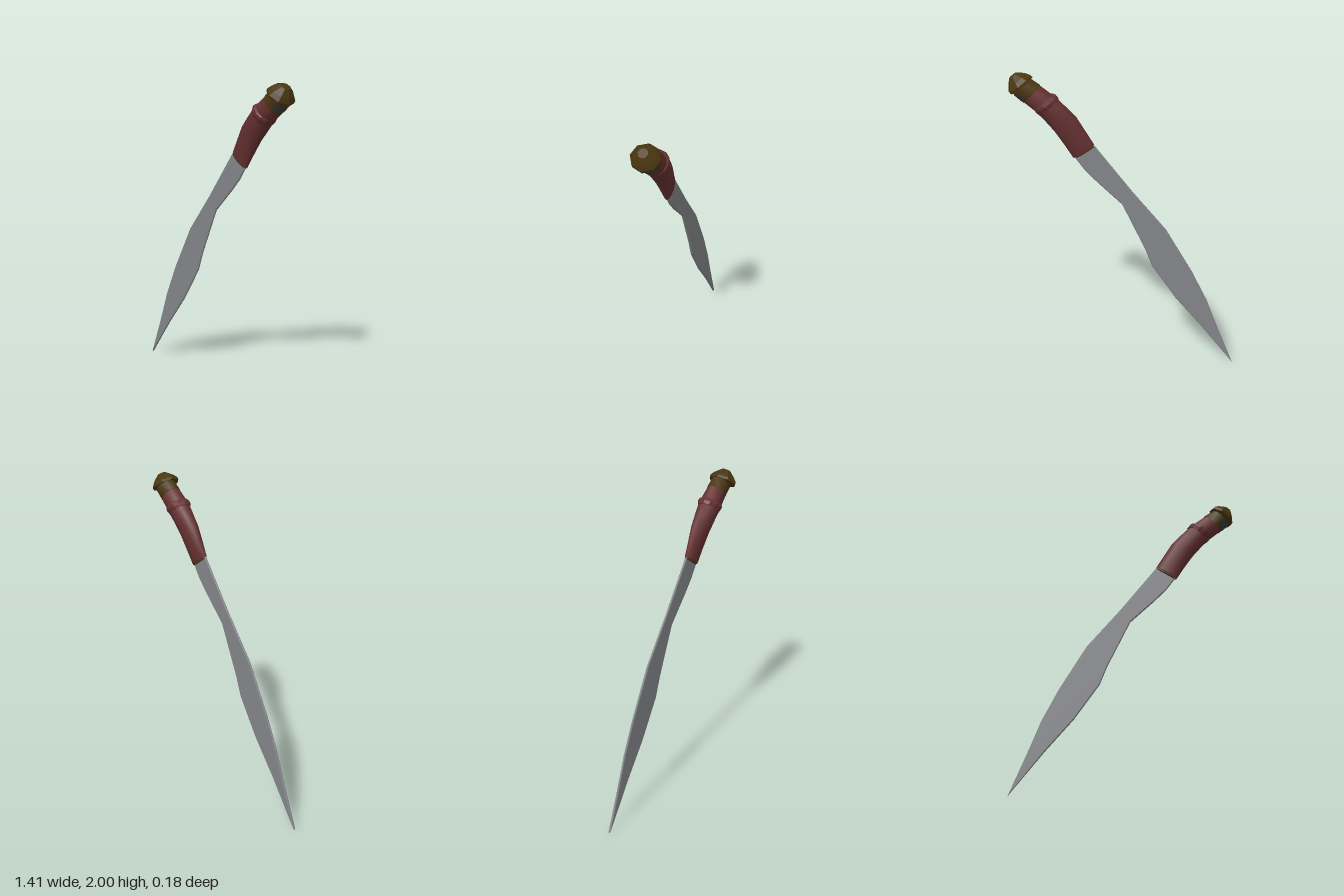
import * as THREE from 'three';

const steel = new THREE.MeshStandardMaterial({ color: 0x85868a });
const redWood = new THREE.MeshStandardMaterial({ color: 0x663131 });
const bronze = new THREE.MeshStandardMaterial({ color: 0x4a3611 });
const darkMetal = new THREE.MeshStandardMaterial({ color: 0x3c3e3a });
steel.name = 'steel';
redWood.name = 'redWood';
bronze.name = 'bronze';
darkMetal.name = 'darkMetal';

const Z = -0.008; // middle plane of blade and grip

// Lofts elliptical sections: [upper x, upper y, lower x, lower y, half depth]
function loft(sections, { sides = 12, from = 0, arc = Math.PI * 2, z = Z, flat = false } = {}) {
  const closed = arc > 6.28;
  const row = closed ? sides : sides + 1;
  const pos = [], index = [];
  for (const [ux, uy, lx, ly, d] of sections) {
    for (let i = 0; i < row; i++) {
      const a = from + (i / sides) * arc, c = Math.cos(a) / 2;
      pos.push((ux + lx) / 2 + (ux - lx) * c, (uy + ly) / 2 + (uy - ly) * c, z + d * Math.sin(a));
    }
  }
  for (let s = 0; s < sections.length - 1; s++) {
    for (let i = 0; i < sides; i++) {
      const a = s * row + i, b = s * row + ((i + 1) % row);
      index.push(a, b, a + row, b, b + row, a + row);
    }
  }
  // end caps with their own corners, so their edges stay sharp
  if (closed) {
    for (const s of [0, sections.length - 1]) {
      const base = pos.length / 3;
      for (let i = 0; i < row * 3; i++) pos.push(pos[s * row * 3 + i]);
      for (let i = 1; i < sides - 1; i++) {
        if (s === 0) index.push(base, base + i + 1, base + i);
        else index.push(base, base + i, base + i + 1);
      }
    }
  }
  let g = new THREE.BufferGeometry();
  g.setAttribute('position', new THREE.Float32BufferAttribute(pos, 3));
  g.setIndex(index);
  if (flat) g = g.toNonIndexed();
  g.computeVertexNormals();
  return g;
}

export function createModel() {
  const group = new THREE.Group();
  const add = (name, geometry, material) => {
    const mesh = new THREE.Mesh(geometry, material);
    mesh.name = name;
    group.add(mesh);
    return mesh;
  };

  // Leaf-shaped blade with a narrow bevel along its edges
  const outline = [
    [-0.705, 0.005], [-0.49, 0.285], [-0.32, 0.49], [-0.165, 0.72], [-0.12, 0.84],
    [0.025, 1.15], [0.18, 1.3], [0.26, 1.385], [0.32, 1.47], [0.33, 1.52], [0.23, 1.585],
    [0.19, 1.535], [-0.04, 1.235], [-0.25, 0.98], [-0.42, 0.685], [-0.52, 0.48], [-0.59, 0.295],
  ].map(([x, y]) => new THREE.Vector2(x, y));
  const blade = new THREE.ExtrudeGeometry(new THREE.Shape(outline), {
    depth: 0.006, bevelEnabled: true, bevelThickness: 0.004,
    bevelSize: 0.005, bevelOffset: -0.005, bevelSegments: 1,
  });
  blade.translate(0, 0, Z - 0.003);
  add('blade', blade, steel);

  // Curved grip, deepening toward the pommel
  add('grip', loft([
    [0.197, 1.55, 0.325, 1.46, 0.027],
    [0.245, 1.63, 0.378, 1.545, 0.04],
    [0.3, 1.722, 0.435, 1.63, 0.052],
    [0.36, 1.787, 0.485, 1.69, 0.06],
    [0.425, 1.85, 0.54, 1.755, 0.068],
    [0.52, 1.925, 0.62, 1.82, 0.06],
  ]), redWood);

  // Thin plate closing the grip at the blade
  add('gripEndPlate', loft([
    [0.193, 1.538, 0.312, 1.459, 0.022],
    [0.199, 1.548, 0.318, 1.469, 0.024],
  ]), bronze);

  // Raised ring around the grip
  add('gripRing', loft([
    [0.405, 1.842, 0.53, 1.738, 0.068],
    [0.418, 1.86, 0.547, 1.755, 0.077],
    [0.436, 1.868, 0.558, 1.77, 0.075],
    [0.45, 1.868, 0.56, 1.775, 0.066],
  ], { flat: true }), redWood);

  // Ferrule between grip and pommel, dark on its lower side
  const ferrule = [
    [0.515, 1.927, 0.62, 1.815, 0.061],
    [0.58, 1.97, 0.675, 1.868, 0.062],
  ];
  add('ferrule', loft(ferrule), bronze);
  const patch = [
    [0.53, 1.937, 0.633, 1.824, 0.063],
    [0.58, 1.971, 0.678, 1.866, 0.064],
  ];
  add('ferruleLowerPlate', loft(patch, { sides: 4, from: Math.PI * 2 / 3, arc: Math.PI * 2 / 3 }), darkMetal);

  // Faceted mushroom pommel
  add('pommel', loft([
    [0.578, 1.962, 0.675, 1.873, 0.06],
    [0.558, 1.973, 0.698, 1.868, 0.088],
    [0.572, 1.985, 0.706, 1.884, 0.09],
    [0.6, 1.994, 0.706, 1.915, 0.07],
    [0.652, 2.0, 0.7, 1.964, 0.03],
  ], { sides: 8, z: -0.002, flat: true }), bronze);

  return group;
}
